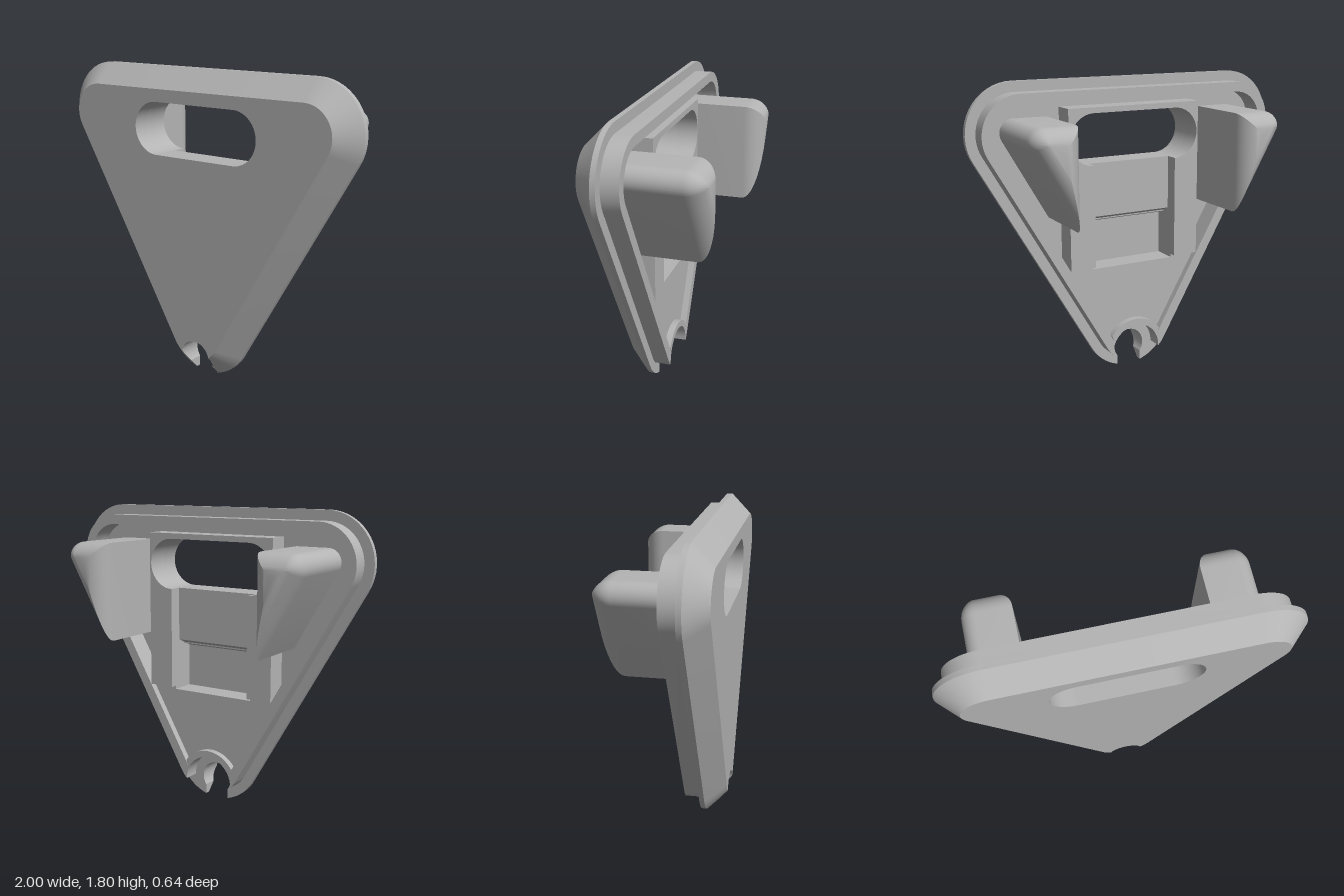
import * as THREE from 'three';
import { toCreasedNormals } from 'three/addons/utils/BufferGeometryUtils.js';

const V = (x, y) => new THREE.Vector2(x, y);
const grey = new THREE.MeshStandardMaterial({ color: 0xb4b4b4, side: THREE.DoubleSide });
grey.name = 'grey';

const LOW = 0.28, HIGH = 1.51, SIDE = 0.71; // corner centres of the rounded triangle
const KEY_Y = 0.12;                         // centre of the keyhole
const lowDist = p => Math.hypot(p.x, p.y - LOW);

// Open outline of the triangle at corner radius r, from one side of the bottom notch to the other
function ring(r, rad, half, n = 16) {
  const inNotch = a => {
    const x = r * Math.cos(a), y = LOW + r * Math.sin(a) - KEY_Y;
    return (Math.abs(x) < half && y < 0) || Math.hypot(x, y) < rad;
  };
  let start = -Math.PI / 2;
  while (inNotch(start)) start += 0.002;
  const pts = [], d = Math.PI / 180;
  const arc = (cx, cy, a, b) => {
    for (let i = 0; i <= n; i++) {
      const t = a + (b - a) * i / n;
      pts.push(V(cx + r * Math.cos(t), cy + r * Math.sin(t)));
    }
  };
  arc(0, LOW, start, -30 * d);
  arc(SIDE, HIGH, -30 * d, 90 * d);
  arc(-SIDE, HIGH, 90 * d, 210 * d);
  arc(0, LOW, 210 * d, Math.PI - start);
  return pts;
}

// Notch: a circle with a straight slot running down from it
function notch(rad, half) {
  const pts = [], a = Math.acos(half / rad), foot = KEY_Y - Math.sqrt(rad * rad - half * half);
  for (let i = 0; i < 8; i++) pts.push(V(-half, -0.02 + (foot + 0.02) * i / 8));
  for (let i = 0; i <= 32; i++) {
    const t = Math.PI + a - (Math.PI + 2 * a) * i / 32;
    pts.push(V(rad * Math.cos(t), KEY_Y + rad * Math.sin(t)));
  }
  for (let i = 7; i >= 0; i--) pts.push(V(half, pts[i].y));
  return pts;
}

const outline = (r, rad, half) =>
  [...ring(r, rad, half), ...notch(rad, half).filter(p => lowDist(p) < r - 0.002)];

const rect = (w, y0, y1) => [V(-w, y0), V(w, y0), V(w, y1), V(-w, y1)];

function slot() {
  const p = new THREE.Path();
  p.absarc(0.27, 1.455, 0.152, -Math.PI / 2, Math.PI / 2, false);
  p.absarc(-0.27, 1.455, 0.152, Math.PI / 2, Math.PI * 1.5, false);
  return p;
}

function slab(shape, z0, z1) {
  const g = new THREE.ExtrudeGeometry(shape, { depth: z1 - z0, bevelEnabled: false, curveSegments: 20 });
  return toCreasedNormals(g.translate(0, 0, z0), 0.5);
}

// Skin between cross-sections listed by rising z
function loft(rings, closed) {
  const n = rings[0].length, pos = rings.flat().flatMap(p => [p.x, p.y, p.z]), idx = [];
  for (let k = 0; k + 1 < rings.length; k++) {
    for (let j = 0; j < (closed ? n : n - 1); j++) {
      const a = k * n + j, b = k * n + (j + 1) % n;
      idx.push(a, b, b + n, a, b + n, a + n);
    }
  }
  if (closed) for (let j = 1; j < n - 1; j++) idx.push(0, j + 1, j);
  const g = new THREE.BufferGeometry();
  g.setAttribute('position', new THREE.Float32BufferAttribute(pos, 3));
  g.setIndex(idx);
  return toCreasedNormals(g.toNonIndexed(), 0.5);
}

// Cross-section of a prong, moved inwards by i
function prongRing(i, z, side) {
  const R = Math.max(0.08 - i, 0.002), top = 1.59 - i, s = Math.sqrt(3);
  const cx = (top - R - 0.28) / s + 0.094 - (i + R) * 2 / s;
  const pts = [V(0.51 + i, 1 + 3.732 * i)];
  for (let k = 0; k <= 10; k++) {
    const a = (-30 + 12 * k) * Math.PI / 180;
    pts.push(V(cx + R * Math.cos(a), top - R + R * Math.sin(a)));
  }
  pts.push(V(0.51 + i, top));
  const out = pts.map(p => new THREE.Vector3(p.x * side, p.y, z));
  return side < 0 ? out.reverse() : out;
}

export function createModel() {
  const model = new THREE.Group();
  const add = (name, geo) => {
    const m = new THREE.Mesh(geo, grey);
    m.name = name;
    model.add(m);
  };
  const key = [0.1, 0.08];
  const cavity = outline(0.17, 0.2, 0.2);

  // Front plate, with the handle slot and a deeper pocket behind
  const front = new THREE.Shape(outline(0.17, ...key));
  front.holes.push(slot());
  add('frontPlate', slab(front, 0.26, 0.32));
  const backing = new THREE.Shape(outline(0.17, ...key));
  backing.holes.push(slot(), new THREE.Path(rect(0.27, 0.67, 0.95)));
  add('backingPlate', slab(backing, 0.2, 0.26));

  // Sloping border
  const border = [];
  for (let k = 0; k <= 8; k++) {
    const t = 0.12 * k / 8;
    border.push(ring(0.29 - t, ...key).map(p => new THREE.Vector3(p.x, p.y, 0.2 + t)));
  }
  add('slopedBorder', loft(border, false));

  // Notch walls under the sloping border
  for (const side of [-1, 1]) {
    const wall = notch(...key)
      .filter(p => p.x * side > 0 && lowDist(p) > 0.155 && lowDist(p) < 0.295);
    const edge = wall.map(p => new THREE.Vector3(p.x, p.y,
      0.2 + THREE.MathUtils.clamp(0.29 - lowDist(p), 0, 0.12)));
    add('notchWall', loft([wall.map(p => new THREE.Vector3(p.x, p.y, 0.2)), edge], false));
  }

  // Flange and the narrower rim behind it
  const flange = new THREE.Shape(outline(0.29, ...key));
  flange.holes.push(new THREE.Path(cavity));
  add('flange', slab(flange, 0.17, 0.2));
  const rim = new THREE.Shape(outline(0.23, 0.16, 0.16));
  rim.holes.push(new THREE.Path(cavity));
  add('rim', slab(rim, 0.07, 0.17));

  // Raised frame around the slot, open at the bottom
  const frame = new THREE.Shape();
  frame.moveTo(0.27, 0.69);
  for (const [x, y] of [[0.43, 0.69], [0.43, 1.64], [-0.43, 1.64], [-0.43, 0.69], [-0.27, 0.69]])
    frame.lineTo(x, y);
  frame.absarc(-0.27, 1.455, 0.152, -Math.PI / 2, Math.PI / 2, true);
  frame.absarc(0.27, 1.455, 0.152, Math.PI / 2, -Math.PI / 2, true);
  add('slotFrame', slab(frame, 0.07, 0.2));

  // Step below the slot, with a slanted underside
  const step = new THREE.Shape([V(-0.15, 1.303), V(-0.15, 0.98), V(-0.26, 0.93), V(-0.26, 1.303)]);
  const stepGeo = new THREE.ExtrudeGeometry(step, { depth: 0.54, bevelEnabled: false });
  add('pocketStep', toCreasedNormals(stepGeo.rotateY(Math.PI / 2).translate(-0.27, 0, 0), 0.5));

  // Filled lower corner of the cavity
  const low = cavity.filter(p => p.y < 0.6);
  const firstLeft = low.findIndex(p => p.x < 0);
  const topX = (0.69 - LOW) / Math.sqrt(3) + 0.17 * 2 / Math.sqrt(3);
  low.splice(firstLeft, 0, V(topX, 0.69), V(0.27, 0.69), V(0.27, 0.67), V(-0.27, 0.67), V(-0.27, 0.69), V(-topX, 0.69));
  add('lowerFill', slab(new THREE.Shape(low), 0.11, 0.2));

  // Rounded prongs at the back
  for (const side of [1, -1]) {
    const rings = [];
    for (let k = 10; k >= 0; k--) {
      const a = k / 10 * Math.PI / 2;
      rings.push(prongRing(0.12 * (1 - Math.cos(a)), -0.2 - 0.12 * Math.sin(a), side));
    }
    rings.push(prongRing(0, 0.2, side));
    add(side > 0 ? 'leftProng' : 'rightProng', loft(rings, true));
  }
  return model;
}
